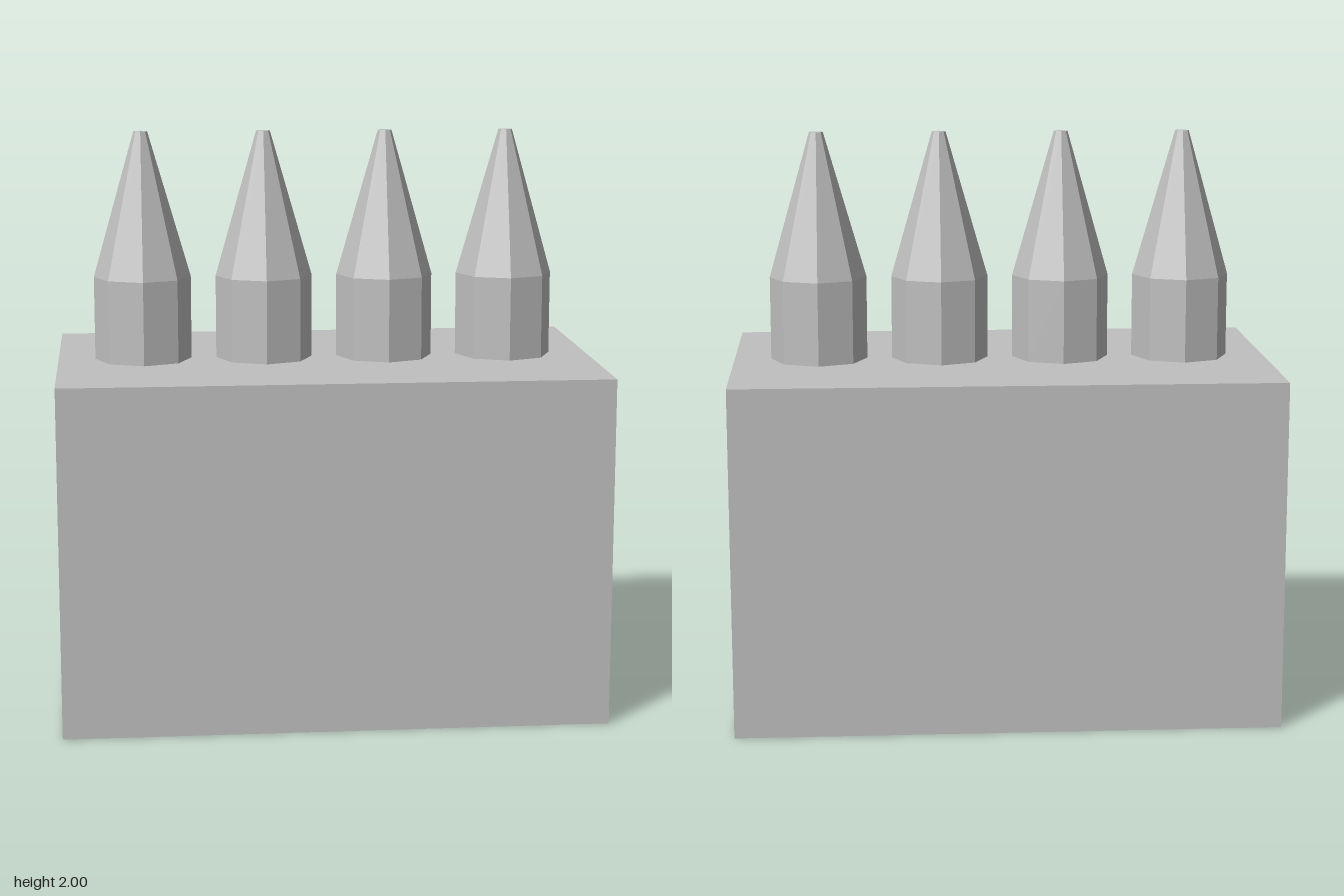
import * as THREE from 'three';

export function createModel() {
  const model = new THREE.Group();
  const grey = new THREE.MeshStandardMaterial({ color: 0xc0c0c0, flatShading: true });
  grey.name = 'light grey';

  const add = (parent, name, geometry, x, y) => {
    const mesh = new THREE.Mesh(geometry, grey);
    mesh.name = name;
    mesh.position.set(x, y, 0);
    parent.add(mesh);
  };

  // Solid block, standing on the ground
  const blockTop = 1.205;
  add(model, 'block', new THREE.BoxGeometry(1.87, blockTop, 1.12), 0, blockTop / 2);

  // Row of four octagonal pegs with tapered, blunt tips
  const sides = 8, radius = 0.169, tipRadius = 0.024, shoulder = 1.495, top = 2;
  const shaftHeight = shoulder - blockTop, tipHeight = top - shoulder;
  const shaft = new THREE.CylinderGeometry(radius, radius, shaftHeight, sides, 1, true);
  const tip = new THREE.CylinderGeometry(tipRadius, radius, tipHeight, sides);
  for (let i = 0; i < 4; i++) {
    const peg = new THREE.Group();
    peg.name = `peg${i + 1}`;
    peg.position.x = (i - 1.5) * 0.425;
    add(peg, 'pegShaft', shaft, 0, blockTop + shaftHeight / 2);
    add(peg, 'pegTip', tip, 0, shoulder + tipHeight / 2);
    model.add(peg);
  }

  return model;
}
